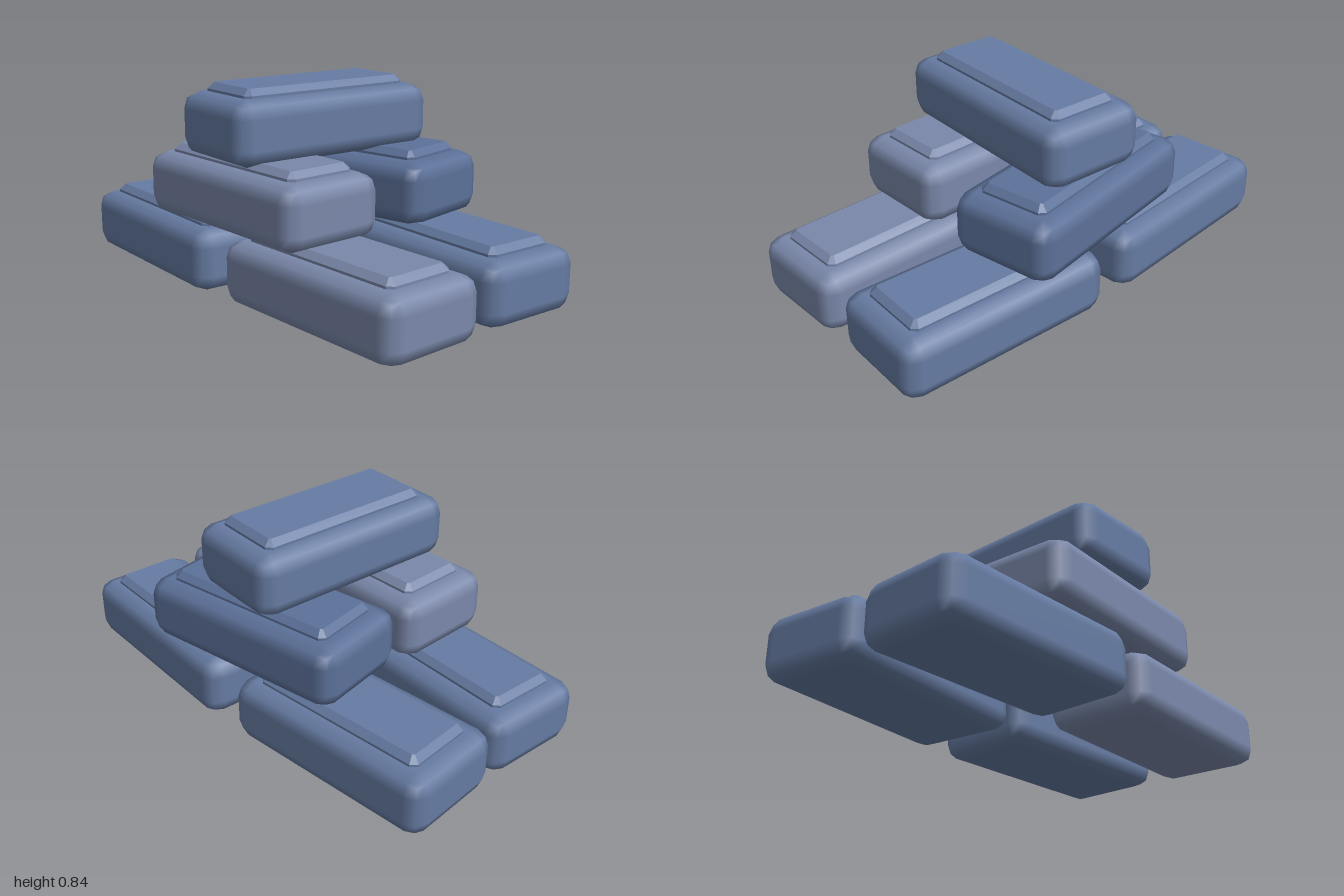
import * as THREE from 'three';
import { RoundedBoxGeometry } from 'three/addons/geometries/RoundedBoxGeometry.js';

const LENGTH = 0.94, WIDTH = 0.46, BODY = 0.258, TOTAL = 0.293, PITCH = 0.272;

// Raised panel: a rectangle with clipped corners and a single chamfer
function panelGeometry() {
  const x = 0.363, z = 0.129, c = 0.008, chamfer = 0.025;
  const shape = new THREE.Shape([
    [-x + c, -z], [x - c, -z], [x, -z + c], [x, z - c],
    [x - c, z], [-x + c, z], [-x, z - c], [-x, -z + c],
  ].map(([a, b]) => new THREE.Vector2(a, b)));
  const depth = 0.04;
  const geometry = new THREE.ExtrudeGeometry(shape, {
    depth, bevelEnabled: true, bevelSegments: 1, bevelSize: chamfer, bevelThickness: chamfer,
  });
  geometry.rotateX(-Math.PI / 2);
  geometry.translate(0, TOTAL - depth - chamfer, 0);
  return geometry;
}

export function createModel() {
  const model = new THREE.Group();
  model.name = 'ingotStack';

  // Bevelled body standing on its base
  const body = new RoundedBoxGeometry(LENGTH, BODY, WIDTH, 1, 0.07);
  body.translate(0, BODY / 2, 0);
  const panel = panelGeometry();

  const light = 0x7a88aa, mid = 0x667ba2, dark = 0x5c7199;

  // name, layer, x, z, turn about y, color
  const ingots = [
    ['bottomFrontRight', 0, 0.512, 0.28, 0, light],
    ['bottomFrontLeft', 0, -0.508, 0.273, -0.068, mid],
    ['bottomBackRight', 0, 0.515, -0.272, -0.066, mid],
    ['bottomBackLeft', 0, -0.51, -0.261, 0.066, mid],
    ['middleFront', 1, 0, 0.28, 0, light],
    ['middleBack', 1, 0, -0.262, 0.15, dark],
    ['top', 2, 0, 0.03, 1.5, mid],
  ];

  for (const [name, layer, x, z, turn, color] of ingots) {
    const material = new THREE.MeshStandardMaterial({ color });
    const ingot = new THREE.Group();
    ingot.name = name + 'Ingot';
    const bodyMesh = new THREE.Mesh(body, material);
    bodyMesh.name = 'body';
    const panelMesh = new THREE.Mesh(panel, material);
    panelMesh.name = 'raisedPanel';
    ingot.add(bodyMesh, panelMesh);
    ingot.position.set(x, layer * PITCH, z);
    ingot.rotation.y = turn;
    model.add(ingot);
  }
  return model;
}
